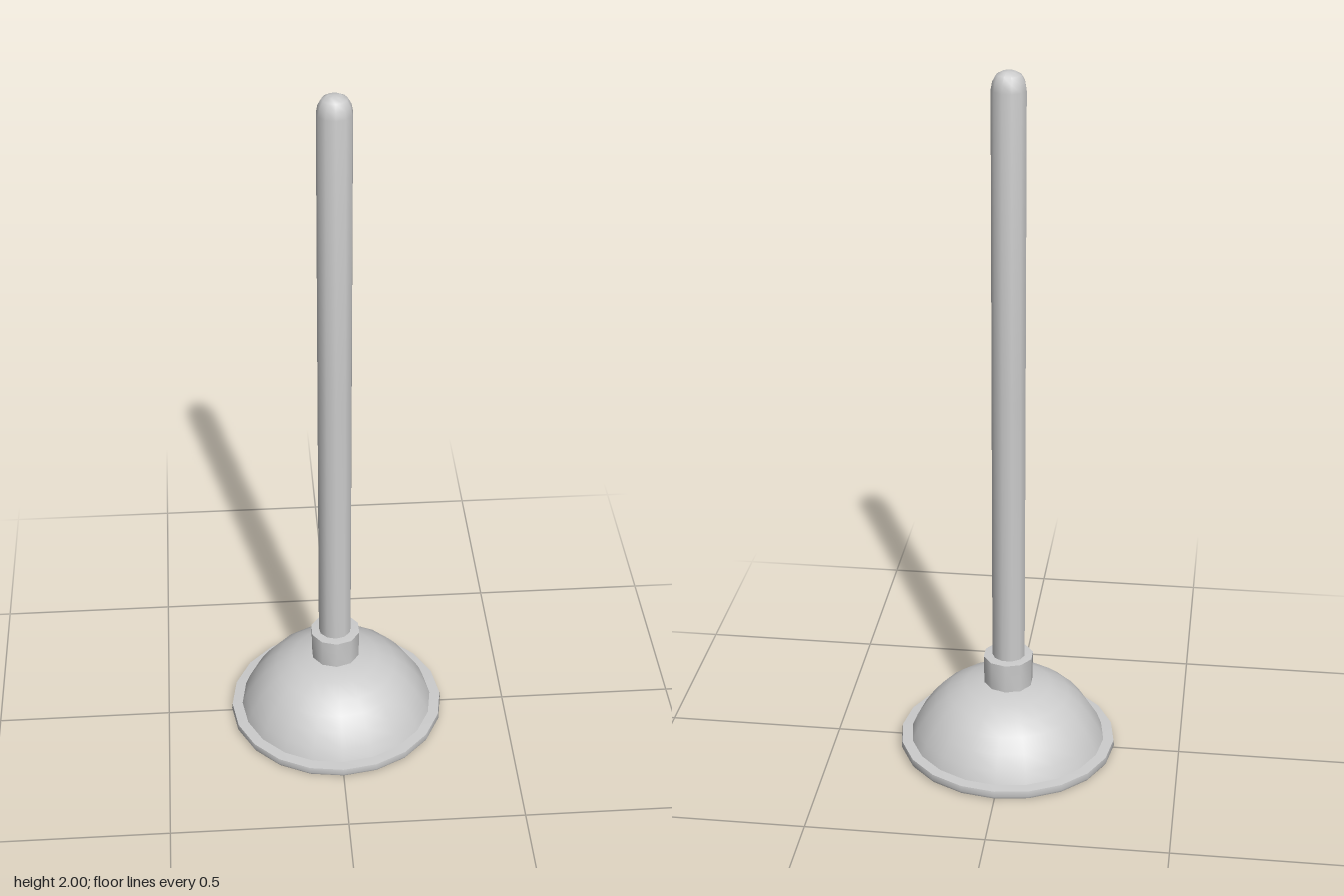
import * as THREE from 'three';
import { toCreasedNormals } from 'three/addons/utils/BufferGeometryUtils.js';

const material = new THREE.MeshStandardMaterial({ color: 0xcccccc });

// Revolve a [radius, height] profile, smooth except at sharp edges
function turned(name, profile, sides, crease = 0.8) {
  const points = profile.map(([r, y]) => new THREE.Vector2(r, y));
  const geometry = toCreasedNormals(new THREE.LatheGeometry(points, sides), crease);
  const mesh = new THREE.Mesh(geometry, material);
  mesh.name = name;
  return mesh;
}

export function createModel() {
  const group = new THREE.Group();
  group.name = 'plunger';

  // Hollow rubber cup: inner wall down, flat lip, outer dome up
  const cup = turned('rubberCup', [
    [0, 0.19], [0.07, 0.185], [0.125, 0.172], [0.175, 0.148], [0.215, 0.112],
    [0.247, 0.068], [0.272, 0.004],
    [0.308, 0.004], [0.312, 0.012], [0.31, 0.028], [0.28, 0.03],
    [0.266, 0.065], [0.24, 0.105], [0.21, 0.142], [0.175, 0.17], [0.125, 0.195],
    [0.07, 0.207], [0, 0.21],
  ], 20);
  cup.rotation.z = 0.012;
  group.add(cup);

  // Collar holding the handle
  const collar = turned('collar', [
    [0, 0.19], [0.07, 0.19], [0.072, 0.293], [0.048, 0.295], [0, 0.295],
  ], 10);
  collar.position.set(-0.003, 0, -0.003);
  group.add(collar);

  // Long handle with a rounded tip
  const handle = turned('handle', [
    [0, 0.2], [0.047, 0.2], [0.047, 1.1], [0.047, 1.95],
    [0.043, 1.972], [0.033, 1.99], [0.018, 1.998], [0, 2],
  ], 11);
  handle.position.set(-0.004, 0, -0.003);
  group.add(handle);

  return group;
}
